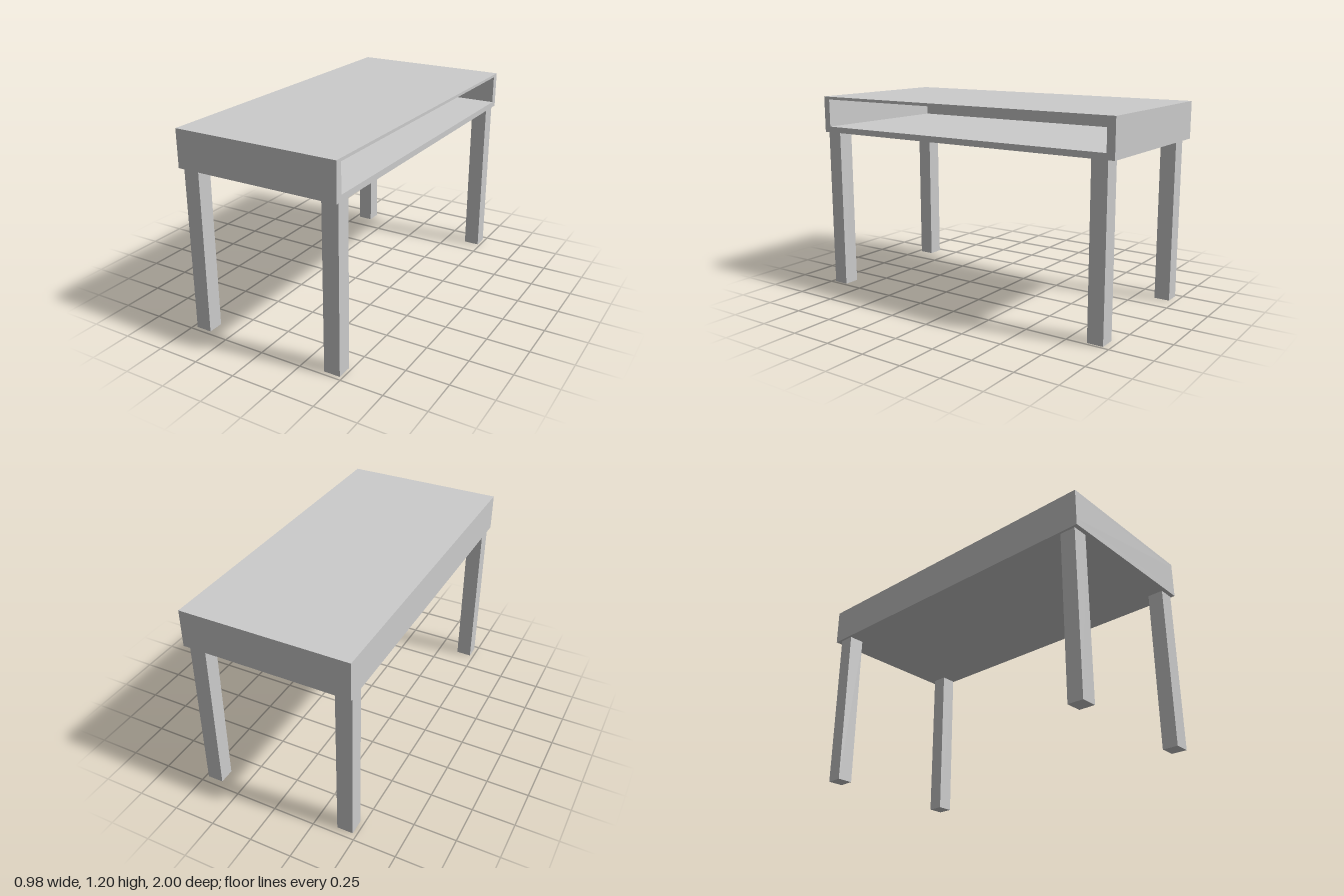
import * as THREE from 'three';

const material = new THREE.MeshStandardMaterial({ color: 0xcccccc, flatShading: true });

// Box given by its minimum and maximum along each axis
function panel(name, [x0, x1], [y0, y1], [z0, z1]) {
  const mesh = new THREE.Mesh(new THREE.BoxGeometry(x1 - x0, y1 - y0, z1 - z0), material);
  mesh.position.set((x0 + x1) / 2, (y0 + y1) / 2, (z0 + z1) / 2);
  mesh.name = name;
  return mesh;
}

export function createModel() {
  const table = new THREE.Group();
  table.name = 'table';

  const width = [-0.49, 0.49], length = [-1, 1];
  const base = 0.975, floor = 1.01, ceiling = 1.178, top = 1.195;
  const backInner = -0.455;

  // Hollow compartment, open on the +x side
  const compartment = new THREE.Group();
  compartment.name = 'compartment';
  compartment.add(
    panel('tableTop', width, [ceiling, top], length),
    panel('compartmentFloor', width, [base, floor], length),
    panel('frontEndWall', width, [floor, ceiling], [0.958, 1]),
    panel('backEndWall', width, [floor, ceiling], [-1, -0.953]),
    panel('closedSideWall', [width[0], backInner], [floor, ceiling], [-0.953, 0.958])
  );
  table.add(compartment);

  // Four square legs
  for (const [side, x] of [['right', [-0.475, -0.38]], ['left', [0.387, 0.483]]]) {
    for (const [end, z] of [['Front', [0.882, 0.975]], ['Back', [-0.96, -0.866]]]) {
      table.add(panel(`${side}${end}Leg`, x, [0, base], z));
    }
  }
  return table;
}
